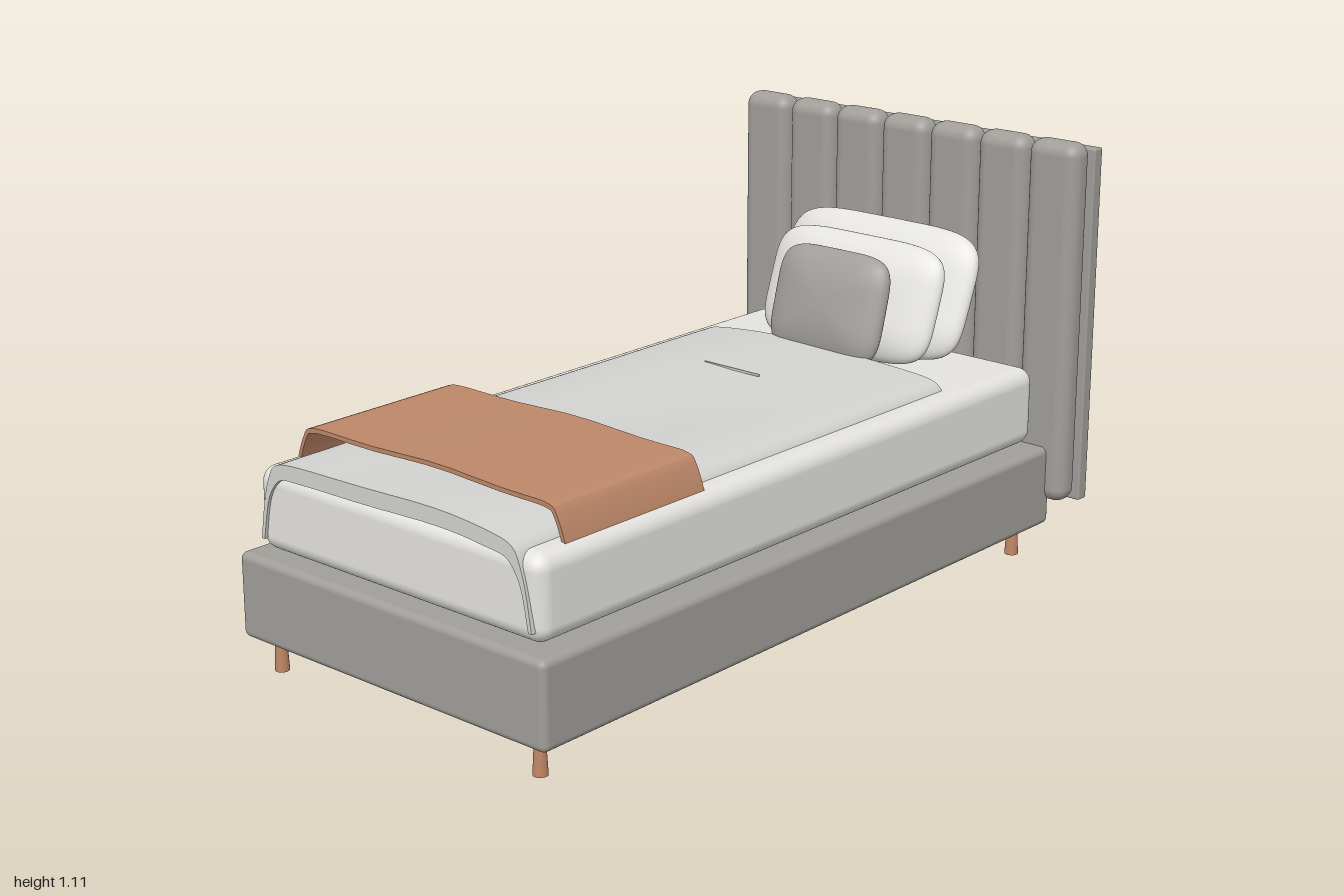
import * as THREE from 'three';
import { mergeVertices, toCreasedNormals } from 'three/addons/utils/BufferGeometryUtils.js';
import { RoundedBoxGeometry } from 'three/addons/geometries/RoundedBoxGeometry.js';

const material = (name, color) => {
  const m = new THREE.MeshStandardMaterial({ color });
  m.name = name;
  return m;
};

// Smooth left-to-right arch from a right-hand half profile (edge first, centre last)
function arch(half, samples) {
  const right = half.map(([x, y]) => new THREE.Vector2(x, y));
  const left = half.slice(0, -1).map(([x, y]) => new THREE.Vector2(-x, y));
  return new THREE.SplineCurve([...left, ...right.reverse()]).getPoints(samples);
}

// Cloth with an outer and inner arch, carried along z and rippled by wave(x, z)
function drapeGeometry(outerHalf, innerHalf, z0, z1, wave) {
  const samples = 48, rows = 30;
  const ring = [...arch(outerHalf, samples), ...arch(innerHalf, samples).reverse()];
  const n = ring.length, positions = [], index = [];
  for (let j = 0; j <= rows; j++) {
    const z = z0 + (z1 - z0) * j / rows;
    for (const p of ring) {
      const fade = Math.max(0, 1 - (p.x / 0.42) ** 4);
      positions.push(p.x, p.y + fade * wave(p.x, z), z);
    }
  }
  const quad = (a, b, c, d) => index.push(a, b, c, a, c, d);
  for (let j = 0; j < rows; j++) {
    for (let i = 0; i < n; i++) {
      const k = (i + 1) % n;
      quad(j * n + i, (j + 1) * n + i, (j + 1) * n + k, j * n + k);
    }
  }
  // Close the two ends
  const end = rows * n;
  for (let i = 0; i < samples; i++) {
    const a = i, b = i + 1, c = n - 2 - i, d = n - 1 - i;
    quad(end + a, end + d, end + c, end + b);
    quad(a, b, c, d);
  }
  const g = new THREE.BufferGeometry();
  g.setAttribute('position', new THREE.Float32BufferAttribute(positions, 3));
  g.setIndex(index);
  return toCreasedNormals(g, 0.7);
}

// Cushion: a sphere squared off in outline and flattened to a lens
function pillowGeometry(halfW, halfH, halfT) {
  const g = new THREE.SphereGeometry(1, 72, 28).rotateX(Math.PI / 2);
  g.deleteAttribute('uv');
  g.deleteAttribute('normal');
  const p = g.attributes.position;
  const square = (c) => Math.sign(c) * Math.abs(c) ** 0.42;
  for (let i = 0; i < p.count; i++) {
    const x = p.getX(i), y = p.getY(i), r = Math.hypot(x, y) || 1e-6;
    p.setXYZ(i, halfW * r * square(x / r), halfH * r * square(y / r), halfT * p.getZ(i));
  }
  const merged = mergeVertices(g, 1e-5);
  merged.computeVertexNormals();
  return merged;
}

export function createModel() {
  const bed = new THREE.Group();
  bed.name = 'bed';
  const upholstery = material('grey upholstery', 0xa19e9a);
  const linen = material('white linen', 0xe4e3e0);
  const quilt = material('pale grey quilt', 0xd2d2d0);
  const copper = material('copper cloth', 0xbd8768);
  const wood = material('copper wood', 0xbf8565);

  const add = (name, geometry, mat, x = 0, y = 0, z = 0) => {
    const mesh = new THREE.Mesh(geometry, mat);
    mesh.name = name;
    mesh.position.set(x, y, z);
    bed.add(mesh);
    return mesh;
  };

  // Base and mattress
  add('base', new RoundedBoxGeometry(0.995, 0.215, 1.91, 4, 0.018), upholstery, 0, 0.192, 0.043);
  add('mattress', new RoundedBoxGeometry(0.92, 0.207, 1.845, 6, 0.04), linen, 0, 0.411, 0.042);

  // Tapered legs
  for (const x of [-0.428, 0.428]) {
    for (const z of [-0.845, 0.94]) {
      add('leg', new THREE.CylinderGeometry(0.013, 0.018, 0.09, 20), wood, x, 0.045, z);
    }
  }

  // Headboard: flat back panel and seven padded channels
  add('headboardPanel', new RoundedBoxGeometry(1.106, 0.945, 0.035, 2, 0.005), upholstery, 0, 0.6175, -0.9825);
  for (let i = -3; i <= 3; i++) {
    add('headboardChannel', new RoundedBoxGeometry(0.152, 0.96, 0.08, 6, 0.036), upholstery,
      i * 0.157, 0.63, -0.926);
  }

  // Quilt draped over the mattress
  const quiltWave = (x, z) => 0.005 * Math.sin(9 * x + 3 * z - 2.5) + 0.004 * Math.cos(5 * z + 2.5);
  add('quilt', drapeGeometry(
    [[0.44, 0.34], [0.425, 0.43], [0.408, 0.49], [0.385, 0.528], [0.33, 0.543], [0.2, 0.55], [0, 0.549]],
    [[0.43, 0.34], [0.412, 0.43], [0.39, 0.475], [0.36, 0.5], [0.3, 0.506], [0.2, 0.51], [0, 0.508]],
    -0.55, 0.972, quiltWave), quilt);
  add('quiltCrease', new THREE.BoxGeometry(0.18, 0.006, 0.004), quilt, -0.04, 0.555, -0.245);

  // Throw across the foot end
  const throwWave = (x) => 0.003 * Math.sin(14 * x + 1);
  add('throw', drapeGeometry(
    [[0.452, 0.34], [0.446, 0.45], [0.432, 0.515], [0.408, 0.573], [0.385, 0.592], [0.3, 0.597], [0, 0.601]],
    [[0.444, 0.34], [0.437, 0.45], [0.422, 0.513], [0.4, 0.566], [0.38, 0.581], [0.3, 0.586], [0, 0.59]],
    0.405, 0.858, throwWave), copper);

  // Pillows leaning on the headboard, back to front
  const pillows = [
    ['backPillow', 0.31, 0.178, 0.062, linen, 0.68, -0.785, -0.38],
    ['middlePillow', 0.275, 0.16, 0.06, linen, 0.668, -0.69, -0.34],
    ['accentPillow', 0.178, 0.145, 0.052, upholstery, 0.66, -0.593, -0.27],
  ];
  for (const [name, w, h, t, mat, y, z, tilt] of pillows) {
    add(name, pillowGeometry(w, h, t), mat, 0, y, z).rotation.x = tilt;
  }
  return bed;
}
